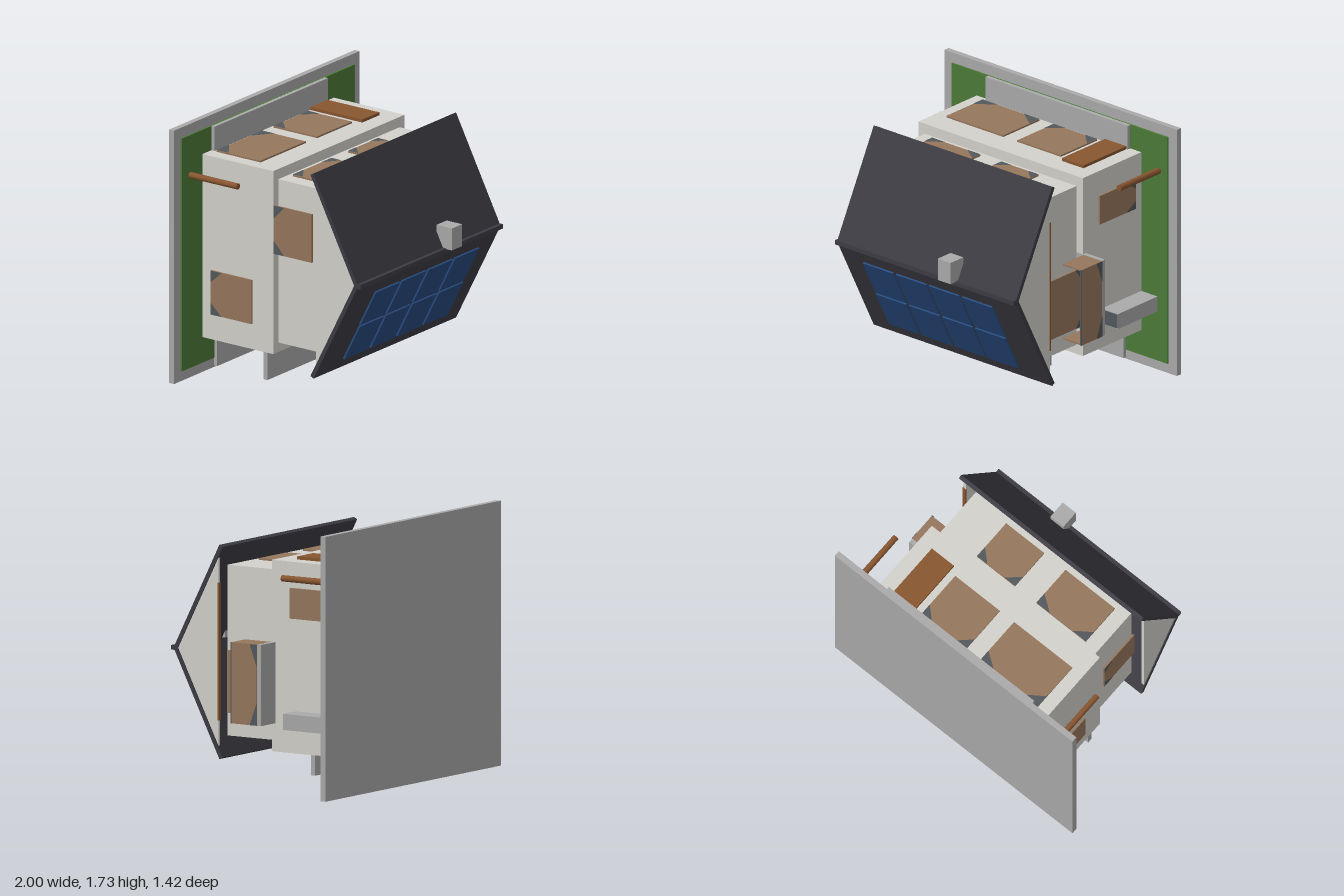
import * as THREE from 'three';

const mat = (name, color, side = THREE.FrontSide) => {
  const m = new THREE.MeshStandardMaterial({ color, side });
  m.name = name;
  return m;
};

export function createModel() {
  const house = new THREE.Group();
  house.name = 'house';
  const wall = mat('plaster', 0xd4d2cc);
  const stone = mat('concrete', 0xaaaaaa);
  const lawn = mat('grass', 0x4c7a38);
  const tile = mat('roofTile', 0x3d3c43);
  const solar = mat('solarBlue', 0x284c80);
  const glass = mat('bronzeGlass', 0x96775d);
  const slate = mat('slate', 0x52595c, THREE.DoubleSide);
  const wood = mat('wood', 0x885630);
  const black = mat('black', 0x202022);

  const add = (name, geo, m, parent = house) => {
    const mesh = new THREE.Mesh(geo, m);
    mesh.name = name;
    parent.add(mesh);
    return mesh;
  };
  // Box given by its limits on each axis
  const box = (name, m, x0, x1, y0, y1, z0, z1) => {
    const b = add(name, new THREE.BoxGeometry(x1 - x0, y1 - y0, z1 - z0), m);
    b.position.set((x0 + x1) / 2, (y0 + y1) / 2, (z0 + z1) / 2);
    return b;
  };

  // Pane with slate lower corners; local up is +z, local front is the given normal
  const up = new THREE.Vector3(0, 0, 1);
  const pane = (name, normal, center, w, h, corners = true, t = 0.012) => {
    const g = new THREE.Group();
    g.name = name;
    const n = new THREE.Vector3(...normal);
    g.quaternion.setFromRotationMatrix(
      new THREE.Matrix4().makeBasis(new THREE.Vector3().crossVectors(up, n), up, n));
    g.position.set(...center);
    add('glass', new THREE.BoxGeometry(w, h, t), glass, g);
    if (corners) {
      const cw = w * 0.27, ch = h * 0.27;
      for (const s of [-1, 1]) {
        const c = new THREE.Shape();
        c.moveTo(s * w / 2, -h / 2);
        c.lineTo(s * (w / 2 - cw), -h / 2);
        c.quadraticCurveTo(s * (w / 2 - cw * 0.42), -h / 2 + ch * 0.62, s * w / 2, -h / 2 + ch);
        add('cornerPanel', new THREE.ShapeGeometry(c, 4), slate, g).position.z = t / 2 + 0.002;
      }
    }
    house.add(g);
  };

  // Plot and paving
  box('baseSlab', stone, -1, 1, 0, 1.73, -0.71, -0.67);
  box('lawn', lawn, -0.93, 0.93, 0.07, 1.66, -0.67, -0.657);
  box('terrace', stone, -0.615, 0.61, 1.49, 1.66, -0.66, -0.632);
  box('driveway', stone, -0.58, 0.57, 0.015, 0.25, -0.66, -0.637);

  // Storeys
  box('groundFloor', wall, -0.71, 0.705, 0.245, 1.495, -0.66, -0.085);
  box('upperFloor', wall, -0.655, 0.65, 0.31, 1.425, -0.085, 0.3);

  // Side facing +y
  for (const [x0, x1] of [[-0.62, -0.13], [-0.01, 0.365]])
    pane('gardenWindow', [0, 1, 0], [(x0 + x1) / 2, 1.5, -0.433], x1 - x0, 0.355);
  for (const [x0, x1] of [[-0.555, -0.14], [0.04, 0.36]])
    pane('upperWindow', [0, 1, 0], [(x0 + x1) / 2, 1.432, 0.105], x1 - x0, 0.295);
  box('gardenDoor', wood, 0.415, 0.6, 1.49, 1.515, -0.64, -0.21);

  // Side facing -y
  for (const [x0, x1] of [[-0.6, -0.17], [0, 0.32]])
    pane('upperWindow', [0, -1, 0], [(x0 + x1) / 2, 0.302, 0.105], x1 - x0, 0.295);
  pane('entranceWindow', [0, -1, 0], [-0.38, 0.237, -0.385], 0.54, 0.33);
  box('doorFrame', stone, 0, 0.48, 0.225, 0.25, -0.64, -0.165);
  box('entranceDoor', wood, 0.01, 0.47, 0.211, 0.23, -0.545, -0.195);
  box('doorPanel', black, 0.02, 0.3, 0.206, 0.213, -0.5, -0.29);
  box('doorStep', stone, 0, 0.48, 0.2, 0.25, -0.66, -0.545);
  box('canopy', stone, -0.69, 0.35, 0.05, 0.25, -0.18, -0.147);

  // Windows on the two ends
  pane('sideWindow', [1, 0, 0], [0.715, 1.225, -0.41], 0.2, 0.35);
  pane('sideWindow', [-1, 0, 0], [-0.72, 0.57, -0.415], 0.3, 0.33);
  pane('upperSideWindow', [-1, 0, 0], [-0.724, 1.105, 0.088], 0.33, 0.305);
  pane('balconyDoor', [1, 0, 0], [0.718, 0.675, 0.088], 0.41, 0.335);

  // Balcony
  box('balconyFloor', stone, 0.65, 0.87, 0.43, 0.96, -0.115, -0.083);
  pane('balconyRail', [1, 0, 0], [0.868, 0.695, 0.018], 0.53, 0.2, true, 0.01);
  for (const s of [-1, 1])
    pane('balconySideRail', [0, s, 0], [0.79, 0.695 + s * 0.26, 0.018], 0.155, 0.2, false, 0.01);
  box('railCap', slate, 0.86, 0.875, 0.43, 0.96, 0.116, 0.122);

  // Outdoor unit
  box('outdoorUnit', stone, 0.7, 0.845, 0.415, 0.52, -0.66, -0.27);
  box('unitCover', slate, 0.705, 0.84, 0.42, 0.515, -0.27, -0.264);

  // Posts standing on the lawn
  for (const [x, y, r] of [[-0.84, 1.387, 0.021], [0.853, 1.407, 0.022]]) {
    const p = add('post', new THREE.CylinderGeometry(r * 0.95, r, 0.39, 12), wood);
    p.rotation.x = Math.PI / 2;
    p.position.set(x, y, -0.465);
  }

  // Roof slopes
  const pitch = Math.atan2(0.36, 0.7), len = Math.hypot(0.36, 0.7);
  const slope = new THREE.Vector2(Math.cos(pitch), Math.sin(pitch));
  for (const s of [-1, 1]) {
    const r = add('roofSlope', new THREE.BoxGeometry(1.535, len, 0.028), tile);
    r.rotation.x = -s * pitch;
    r.position.set(-0.002, 0.87 + s * (0.35 - slope.y * 0.014), 0.465 - slope.x * 0.014);
  }
  box('ridgeCap', tile, -0.77, 0.766, 0.855, 0.885, 0.63, 0.664);

  // Gable ends
  const tri = new THREE.Shape();
  tri.moveTo(0.2, 0.298);
  tri.lineTo(1.54, 0.298);
  tri.lineTo(0.87, 0.625);
  const gable = new THREE.ExtrudeGeometry(tri, { depth: 0.02, bevelEnabled: false });
  gable.applyMatrix4(new THREE.Matrix4().makeBasis(
    new THREE.Vector3(0, 1, 0), up, new THREE.Vector3(1, 0, 0)));
  for (const x of [-0.762, 0.738]) add('gable', gable, wall).position.x = x;
  box('gableTrim', wood, 0.735, 0.762, 0.42, 1.32, 0.292, 0.302);

  // Solar panels above the lower slope
  for (let c = 0; c < 4; c++) {
    for (const y of [0.39, 0.65]) {
      const p = add('solarPanel', new THREE.BoxGeometry(0.26, 0.28, 0.012), solar);
      p.rotation.x = pitch;
      p.position.set(-0.43 + c * 0.284, y, 0.565 + (y - 0.65) * 0.5);
    }
  }

  // Chimney
  box('chimney', stone, 0.155, 0.265, 0.88, 1.03, 0.585, 0.71);

  return house;
}
